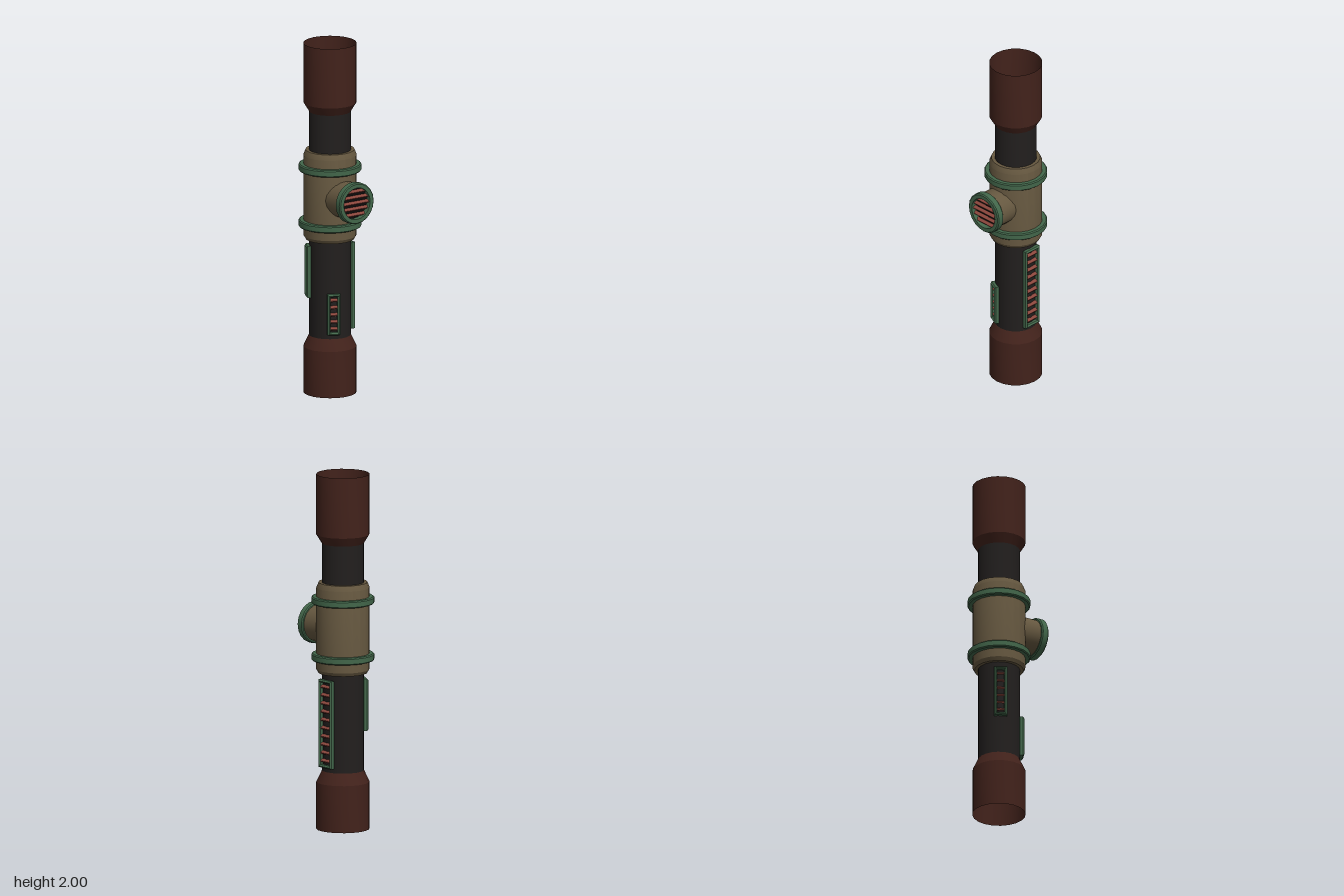
import * as THREE from 'three';
import { toCreasedNormals } from 'three/addons/utils/BufferGeometryUtils.js';

const SIDES = 20;
const AXIS_X = -0.04;
const paint = (color) => new THREE.MeshStandardMaterial({ color, side: THREE.DoubleSide });

export function createModel() {
  const model = new THREE.Group();
  const rust = paint(0x42221b), dark = paint(0x221f1e), tan = paint(0x665840);
  const green = paint(0x42664a), red = paint(0x8a463c), black = paint(0x0c0a0a);

  const add = (parent, name, geometry, material) => {
    const mesh = new THREE.Mesh(geometry, material);
    mesh.name = name;
    parent.add(mesh);
    return mesh;
  };
  const lathe = (profile, sides = SIDES) => toCreasedNormals(
    new THREE.LatheGeometry(profile.map(([r, y]) => new THREE.Vector2(r, y)), sides), 0.42);
  // Band with chamfered outer edges, closed all round
  const band = (inner, outer, y0, y1, c) => lathe([
    [inner, y0], [outer - c, y0], [outer, y0 + c], [outer, y1 - c], [outer - c, y1], [inner, y1], [inner, y0]]);

  // Vertical pipe, open at both ends
  const pipe = new THREE.Group();
  pipe.name = 'mainPipe';
  pipe.position.x = AXIS_X;
  model.add(pipe);
  add(pipe, 'lowerSocket', lathe([[0.148, 0], [0.148, 0.265], [0.117, 0.33]]), rust);
  add(pipe, 'innerPipe', lathe([[0.117, 0.33], [0.117, 1.61]]), dark);
  add(pipe, 'upperSocket', lathe([[0.117, 1.61], [0.148, 1.66], [0.148, 2]]), rust);
  add(pipe, 'collar', lathe([[0.117, 0.88], [0.136, 0.88], [0.148, 0.9],
    [0.148, 1.36], [0.136, 1.39], [0.117, 1.39]]), tan);
  for (const y of [0.97, 1.29]) {
    add(pipe, 'collarRing', band(0.146, 0.175, y - 0.02, y + 0.02, 0.006), green);
  }

  // Side branch pointing along +x
  const branch = new THREE.Group();
  branch.name = 'sideBranch';
  branch.position.y = 1.13;
  model.add(branch);
  const stub = add(branch, 'branchPipe', lathe([[0.105, -0.01], [0.105, 0.19]]), tan);
  const flange = add(branch, 'branchFlange', band(0.09, 0.118, 0.171, 0.215, 0.006), green);
  const backing = add(branch, 'grilleBacking', new THREE.CylinderGeometry(0.1, 0.1, 0.006, SIDES), black);
  backing.position.x = 0.18;
  for (const part of [stub, flange, backing]) part.rotation.z = -Math.PI / 2;
  for (let i = -2; i <= 2; i++) {
    const y = i * 0.033;
    const length = 2 * Math.sqrt(0.093 ** 2 - y ** 2);
    const slat = add(branch, 'grilleSlat', new THREE.BoxGeometry(0.02, 0.008, length), red);
    slat.position.set(0.195, y, 0);
    slat.rotation.z = -0.6;
  }

  // Louvred vents set into the lower pipe
  const rectangle = (Type, w, h) => new Type([
    [-w, -h], [w, -h], [w, h], [-w, h]].map(([x, y]) => new THREE.Vector2(x / 2, y / 2)));
  const addVent = (name, angle, y0, y1, width, slats) => {
    const vent = new THREE.Group();
    vent.name = name;
    vent.position.set(AXIS_X, (y0 + y1) / 2, 0);
    vent.rotation.y = THREE.MathUtils.degToRad(angle);
    model.add(vent);
    const height = y1 - y0, rim = 0.032;
    const outline = rectangle(THREE.Shape, width, height);
    outline.holes.push(rectangle(THREE.Path, width - rim, height - rim));
    const frame = add(vent, 'ventFrame', new THREE.ExtrudeGeometry(outline, {
      depth: 0.018, bevelThickness: 0.008, bevelSize: 0.008, bevelOffset: -0.008, bevelSegments: 1,
    }), green);
    frame.position.z = 0.112;
    const pitch = (height - rim) / slats;
    for (let i = 0; i < slats; i++) {
      const slat = add(vent, 'ventSlat', new THREE.BoxGeometry(width - 0.025, 0.009, 0.02), red);
      slat.position.set(0, (i - (slats - 1) / 2) * pitch, 0.12);
      slat.rotation.x = 0.6;
    }
  };
  addVent('frontVent', -28, 0.55, 0.845, 0.072, 6);
  addVent('leftVent', 64, 0.355, 0.59, 0.072, 5);
  addVent('backVent', 180, 0.355, 0.85, 0.11, 10);

  return model;
}
